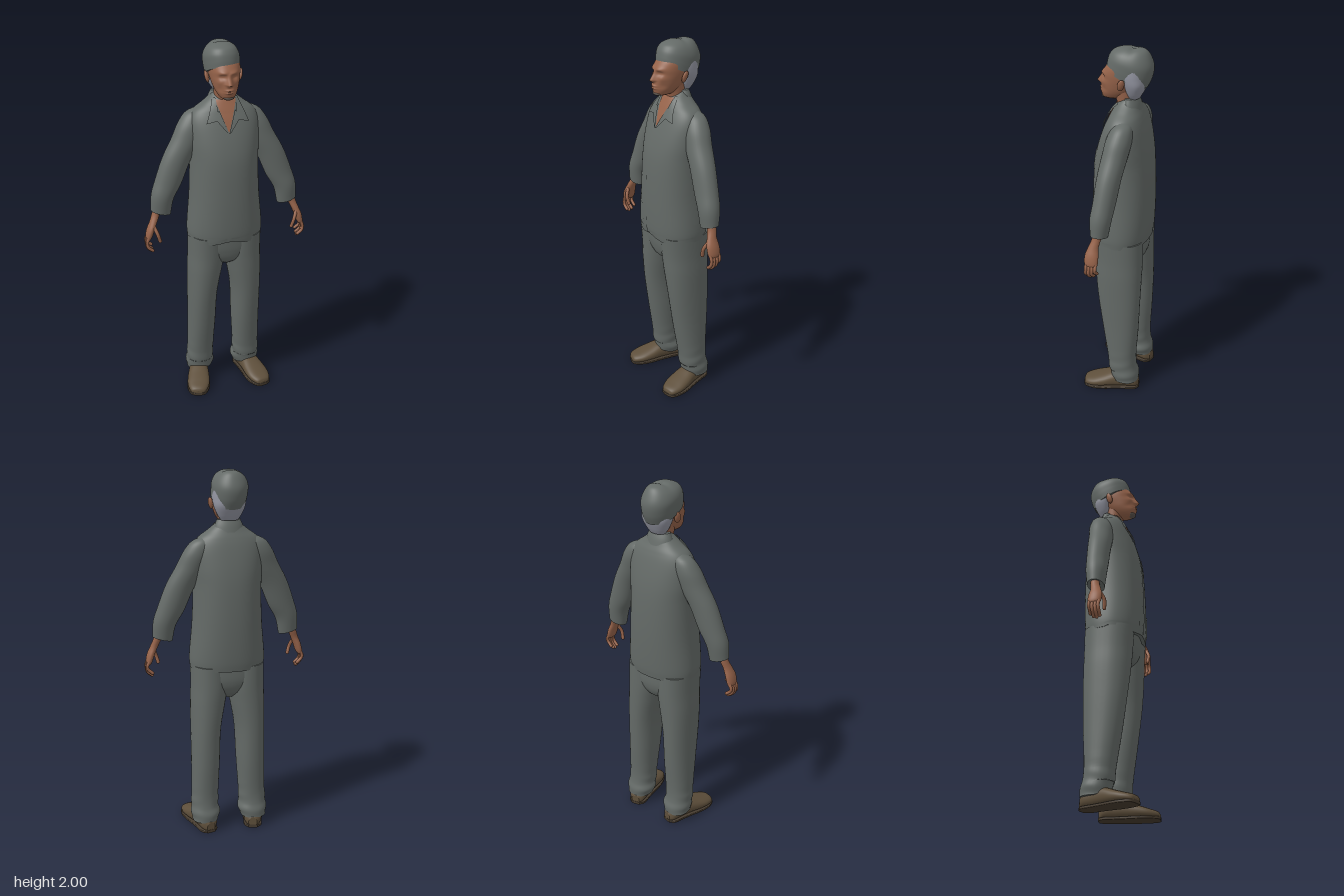
import * as THREE from 'three';

const mat = (name, color, side = THREE.FrontSide) => {
  const m = new THREE.MeshStandardMaterial({ color, side });
  m.name = name;
  return m;
};

// Smoothly resample rings of [y, centreX, halfWidth, frontZ, backZ]
function resample(rings, steps) {
  const a = new THREE.CatmullRomCurve3(rings.map(r => new THREE.Vector3(r[0], r[1], r[2])));
  const b = new THREE.CatmullRomCurve3(rings.map(r => new THREE.Vector3(r[0], r[3], r[4])));
  return Array.from({ length: steps + 1 }, (_, i) => {
    const p = a.getPoint(i / steps), q = b.getPoint(i / steps);
    return [p.x, p.y, p.z, q.y, q.z];
  });
}

// Skin the rings (bottom to top) with superellipse sections and flat end caps
function loft(rings, { seg = 32, steps = 36, n = 2, warp } = {}) {
  const rows = resample(rings, steps), pos = [], idx = [];
  const pw = c => Math.sign(c) * Math.abs(c) ** (2 / n);
  rows.forEach(([y, cx, hw, zf, zb], i) => {
    for (let j = 0; j < seg; j++) {
      const t = j / seg * Math.PI * 2;
      const v = new THREE.Vector3(cx + hw * pw(Math.cos(t)), y,
        (zf + zb) / 2 + (zf - zb) / 2 * pw(Math.sin(t)));
      if (warp) warp(v, i / steps, cx);
      pos.push(v.x, v.y, v.z);
    }
  });
  for (let i = 0; i < steps; i++) for (let j = 0; j < seg; j++) {
    const k = (j + 1) % seg, a = i * seg + j, b = i * seg + k;
    idx.push(a, a + seg, b, b, a + seg, b + seg);
  }
  for (const row of [0, steps]) {
    const base = pos.length / 3, c = [0, 0, 0];
    for (let j = 0; j < seg; j++) for (let d = 0; d < 3; d++) {
      const value = pos[(row * seg + j) * 3 + d];
      pos.push(value);
      c[d] += value / seg;
    }
    pos.push(...c);
    for (let j = 0; j < seg; j++) {
      const k = base + (j + 1) % seg;
      idx.push(base + seg, row ? k : base + j, row ? base + j : k);
    }
  }
  const g = new THREE.BufferGeometry();
  g.setAttribute('position', new THREE.Float32BufferAttribute(pos, 3));
  g.setIndex(idx);
  g.computeVertexNormals();
  return g;
}

const COAT = [
  [0.95, 0, 0.203, 0.148, -0.153], [1.0, 0, 0.205, 0.154, -0.16], [1.2, 0, 0.188, 0.155, -0.168],
  [1.4, 0, 0.182, 0.142, -0.162], [1.5, 0, 0.188, 0.12, -0.15], [1.6, 0, 0.185, 0.085, -0.128],
  [1.65, 0, 0.162, 0.062, -0.112], [1.69, 0, 0.11, 0.042, -0.095], [1.72, 0, 0.073, 0.025, -0.083],
  [1.74, 0, 0.055, 0.002, -0.07]];
const COAT_N = 2.25;
const coatRows = resample(COAT, 300);

// Depth of the coat's front surface
function coatZ(x, y) {
  const i = Math.max(1, coatRows.findIndex(r => r[0] >= y));
  const a = coatRows[i - 1], b = coatRows[i], t = (y - a[0]) / (b[0] - a[0]);
  const [, , hw, zf, zb] = a.map((v, k) => v + (b[k] - v) * t);
  const e = Math.max(0, 1 - Math.abs(x / hw) ** COAT_N) ** (1 / COAT_N);
  return (zf + zb) / 2 + (zf - zb) / 2 * e;
}

// Thin four-cornered patch lying on the coat front: top left, top right, bottom left, bottom right
function patch([tl, tr, bl, br], lift, rows = 14) {
  const g = new THREE.PlaneGeometry(1, 1, 8, rows), p = g.attributes.position;
  for (let i = 0; i < p.count; i++) {
    const u = p.getX(i) + 0.5, v = p.getY(i) + 0.5;
    const [x, y] = [0, 1].map(k => (tl[k] * (1 - u) + tr[k] * u) * v + (bl[k] * (1 - u) + br[k] * u) * (1 - v));
    p.setXYZ(i, x, y, coatZ(x, y) + lift);
  }
  g.computeVertexNormals();
  return g;
}
const sided = (c, s) => s > 0 ? c : [c[1], c[0], c[3], c[2]].map(([x, y]) => [-x, y]);

export function createModel() {
  const model = new THREE.Group();
  const cloth = mat('grey cloth', 0x646a67, THREE.DoubleSide);
  const skin = mat('skin', 0x96634a, THREE.DoubleSide);
  const hairGrey = mat('grey hair', 0x9294a0);
  const stubble = mat('stubble', 0x5f564f);
  const leather = mat('brown leather', 0x5e4f3b);
  const soleBrown = mat('dark sole', 0x473c2f);
  const add = (name, geo, m, parent = model) => {
    const mesh = new THREE.Mesh(geo, m);
    mesh.name = name;
    parent.add(mesh);
    return mesh;
  };
  const blob = (name, m, [x, y, z], [a, b, c]) => {
    const e = add(name, new THREE.SphereGeometry(1, 20, 14), m);
    e.position.set(x, y, z);
    e.scale.set(a, b, c);
    return e;
  };

  // Jacket body with a gently waving hem
  add('jacket', loft(COAT, { seg: 56, steps: 60, n: COAT_N, warp: (v, t) => {
    if (t < 0.06) v.y += 0.008 * Math.cos(v.x * 30) * (v.z > 0 ? 1 : 0);
  } }), cloth);
  add('placket', patch([[-0.022, 1.56], [0.002, 1.56], [-0.022, 0.965], [0.002, 0.965]], 0.003, 50), cloth);
  add('chestPocket', patch([[0.05, 1.47], [0.125, 1.47], [0.05, 1.37], [0.125, 1.37]], 0.003), cloth);
  add('collarStand', loft([[1.685, 0, 0.083, 0.0, -0.098], [1.72, 0, 0.074, -0.003, -0.088],
    [1.748, 0, 0.062, -0.012, -0.076]], { steps: 8 }), cloth);
  add('openNeck', patch([[-0.056, 1.715], [0.056, 1.715], [-0.002, 1.562], [0.002, 1.562]], 0.004, 24), skin);

  // Trouser seat joining both legs
  add('trouserSeat', loft([[0.78, 0, 0.03, 0.05, -0.07], [0.82, 0, 0.1, 0.1, -0.115],
    [0.88, 0, 0.185, 0.12, -0.137], [0.98, 0, 0.198, 0.13, -0.14]], { n: 2.3 }), cloth);

  for (const s of [1, -1]) {
    const side = s > 0 ? 'left' : 'right';
    const flip = rings => rings.map(([y, cx, ...r]) => [y, cx * s, ...r]);

    // Collar flap, lapel and lower pocket
    add(side + 'CollarFlap', patch(sided([[0.052, 1.725], [0.066, 1.722], [0.045, 1.622], [0.112, 1.605]], s), 0.012), cloth);
    add(side + 'Lapel', patch(sided([[0.042, 1.668], [0.066, 1.628], [0.0, 1.556], [0.008, 1.558]], s), 0.009), cloth);
    add(side + 'Pocket', patch(sided([[0.06, 1.12], [0.15, 1.12], [0.06, 0.99], [0.15, 0.99]], s), 0.003), cloth);

    // Sleeve
    add(side + 'Sleeve', loft(flip([
      [1.115, 0.35, 0.053, 0.053, -0.036], [1.2, 0.338, 0.06, 0.06, -0.05], [1.28, 0.303, 0.07, 0.055, -0.06],
      [1.4, 0.254, 0.074, 0.05, -0.073], [1.5, 0.198, 0.077, 0.042, -0.088], [1.58, 0.163, 0.074, 0.03, -0.098],
      [1.635, 0.14, 0.056, 0.005, -0.088], [1.665, 0.125, 0.012, -0.03, -0.055]]),
    { warp: (v, t, cx) => { v.y += (v.x - cx) * s * 0.25 * (1 - t); } }), cloth);

    // Hand: palm with wrist, four curled fingers and a thumb
    const hand = new THREE.Group();
    hand.name = side + 'Hand';
    model.add(hand);
    add('palm', loft(flip([
      [0.975, 0.425, 0.012, 0.058, -0.003], [0.99, 0.422, 0.018, 0.064, -0.008], [1.03, 0.411, 0.021, 0.065, -0.008],
      [1.07, 0.394, 0.021, 0.052, -0.003], [1.11, 0.378, 0.022, 0.038, -0.01], [1.16, 0.362, 0.024, 0.036, -0.014]]),
    { seg: 20, steps: 16 }), skin, hand);
    const digit = (name, pts, r) => {
      const vs = pts.map(([x, y, z]) => new THREE.Vector3(x * s, y, z));
      add(name, new THREE.TubeGeometry(new THREE.CatmullRomCurve3(vs), 12, r, 10), skin, hand);
      add(name + 'Tip', new THREE.SphereGeometry(r, 10, 8), skin, hand).position.copy(vs.at(-1));
    };
    [0.003, 0.02, 0.037, 0.053].forEach((z, i) => {
      const low = [0.022, 0.006, 0, 0.008][i];
      digit('finger', [[0.422, 0.995, z], [0.436, 0.955 + low * 0.4, z], [0.431, 0.925 + low, z + 0.002],
        [0.408, 0.904 + low, z]], 0.0088);
    });
    digit('thumb', [[0.398, 1.055, 0.045], [0.38, 1.01, 0.066], [0.368, 0.968, 0.062]], 0.0098);

    // Trouser leg with folds above the shoe
    add(side + 'TrouserLeg', loft(flip([
      [0.06, 0.14, 0.074, 0.02, -0.137], [0.1, 0.136, 0.08, 0.024, -0.138], [0.14, 0.138, 0.077, 0.035, -0.126],
      [0.2, 0.136, 0.075, 0.04, -0.12], [0.4, 0.129, 0.078, 0.072, -0.13], [0.6, 0.124, 0.082, 0.1, -0.137],
      [0.75, 0.111, 0.094, 0.115, -0.14], [0.85, 0.101, 0.1, 0.121, -0.141], [0.97, 0.1, 0.1, 0.13, -0.14]]),
    { steps: 80, n: 2.2, warp: (v, t, cx) => {
      const f = 1 + 0.05 * Math.sin(v.y * 85 + v.z * 18) * Math.max(0, 1 - v.y / 0.3);
      v.x = cx + (v.x - cx) * f;
      if (v.y < 0.13) v.y += Math.max(0, v.z + 0.04) * 0.3;
    } }), cloth);

    // Shoe with the toe turned outward
    const shoe = new THREE.Group();
    shoe.name = side + 'Shoe';
    shoe.position.set(0.155 * s, 0, 0);
    shoe.rotation.y = 0.24 * s;
    model.add(shoe);
    const foot = [[-0.177, 0.018, 0.03], [-0.168, 0.04, 0.044], [-0.12, 0.061, 0.062], [-0.06, 0.063, 0.082],
      [0, 0.056, 0.102], [0.06, 0.051, 0.102], [0.12, 0.046, 0.09], [0.142, 0.024, 0.06]];
    add('upper', loft(foot.map(([l, w, h]) => [l, 0, w, h, 0.006]), { n: 2.3 }).rotateX(-Math.PI / 2), leather, shoe);
    add('sole', loft(foot.map(([l, w]) => [l * 1.01, 0, w + 0.002, 0.018, 0]), { n: 5 }).rotateX(-Math.PI / 2), soleBrown, shoe);

    // Ear
    blob(side + 'Ear', skin, [0.087 * s, 1.828, -0.014], [0.011, 0.032, 0.018]).rotation.set(-0.2, 0.4 * s, -0.2 * s);
  }

  // Neck
  add('neck', loft([[1.6, 0, 0.058, 0.02, -0.06], [1.68, 0, 0.052, 0.03, -0.056], [1.72, 0, 0.05, 0.034, -0.058],
    [1.79, 0, 0.054, 0.06, -0.075]]), skin);

  // Head with brow, eye sockets, nose, cheeks and mouth shaped by rule
  const bump = (d, w) => Math.exp(-((d / w) ** 2));
  add('head', loft([
    [1.73, 0, 0.022, 0.098, 0.03], [1.738, 0, 0.036, 0.11, 0.0], [1.757, 0, 0.05, 0.116, -0.03],
    [1.78, 0, 0.061, 0.118, -0.06], [1.81, 0, 0.07, 0.115, -0.09], [1.84, 0, 0.077, 0.109, -0.11],
    [1.866, 0, 0.08, 0.107, -0.12], [1.9, 0, 0.08, 0.088, -0.12], [1.94, 0, 0.066, 0.05, -0.1],
    [1.965, 0, 0.03, 0.0, -0.06]], { seg: 96, steps: 90, n: 2.15, warp: v => {
    if (v.z < 0.04) return;
    const x = Math.abs(v.x), { y } = v;
    const slope = y > 1.812 ? Math.max(0, 1 - (y - 1.812) / 0.055) : Math.max(0, 1 - (1.812 - y) / 0.016);
    v.z += 0.027 * slope * bump(x, 0.008 + 0.007 * slope)
      + 0.007 * bump(y - 1.868, 0.01) * bump(x - 0.028, 0.022)
      - 0.012 * bump(y - 1.848, 0.011) * bump(x - 0.031, 0.015)
      + 0.004 * bump(y - 1.848, 0.006) * bump(x - 0.031, 0.01)
      + 0.005 * bump(y - 1.822, 0.014) * bump(x - 0.048, 0.014)
      - 0.006 * bump(y - 1.785, 0.016) * bump(x - 0.046, 0.014)
      + 0.007 * (bump(y - 1.783, 0.005) + bump(y - 1.77, 0.005)) * bump(x, 0.02);
  } }), skin);
  blob('chinStubble', stubble, [0, 1.741, 0.092], [0.029, 0.013, 0.024]);

  // Hair round the back of the head
  add('hair', loft([[1.745, 0, 0.044, -0.035, -0.088], [1.775, 0, 0.064, -0.022, -0.105],
    [1.82, 0, 0.082, -0.005, -0.124], [1.86, 0, 0.086, 0.02, -0.126], [1.9, 0, 0.084, 0.025, -0.125]], { n: 2.4 }), hairGrey);

  // Soft cap: tilted rim and a shallow crease across the crown
  add('cap', loft([
    [1.858, -0.004, 0.088, 0.086, -0.125], [1.9, -0.006, 0.092, 0.082, -0.146], [1.94, -0.008, 0.091, 0.073, -0.153],
    [1.972, -0.008, 0.075, 0.055, -0.138], [1.993, -0.006, 0.046, 0.02, -0.115], [2.0, -0.005, 0.008, -0.03, -0.065]],
  { seg: 48, n: 2.15, warp: (v, t) => {
    v.y += 0.43 * v.z * (1 - t) ** 1.3 - 0.01 * bump(v.z + 0.05, 0.018) * t ** 4;
  } }), cloth);

  return model;
}
